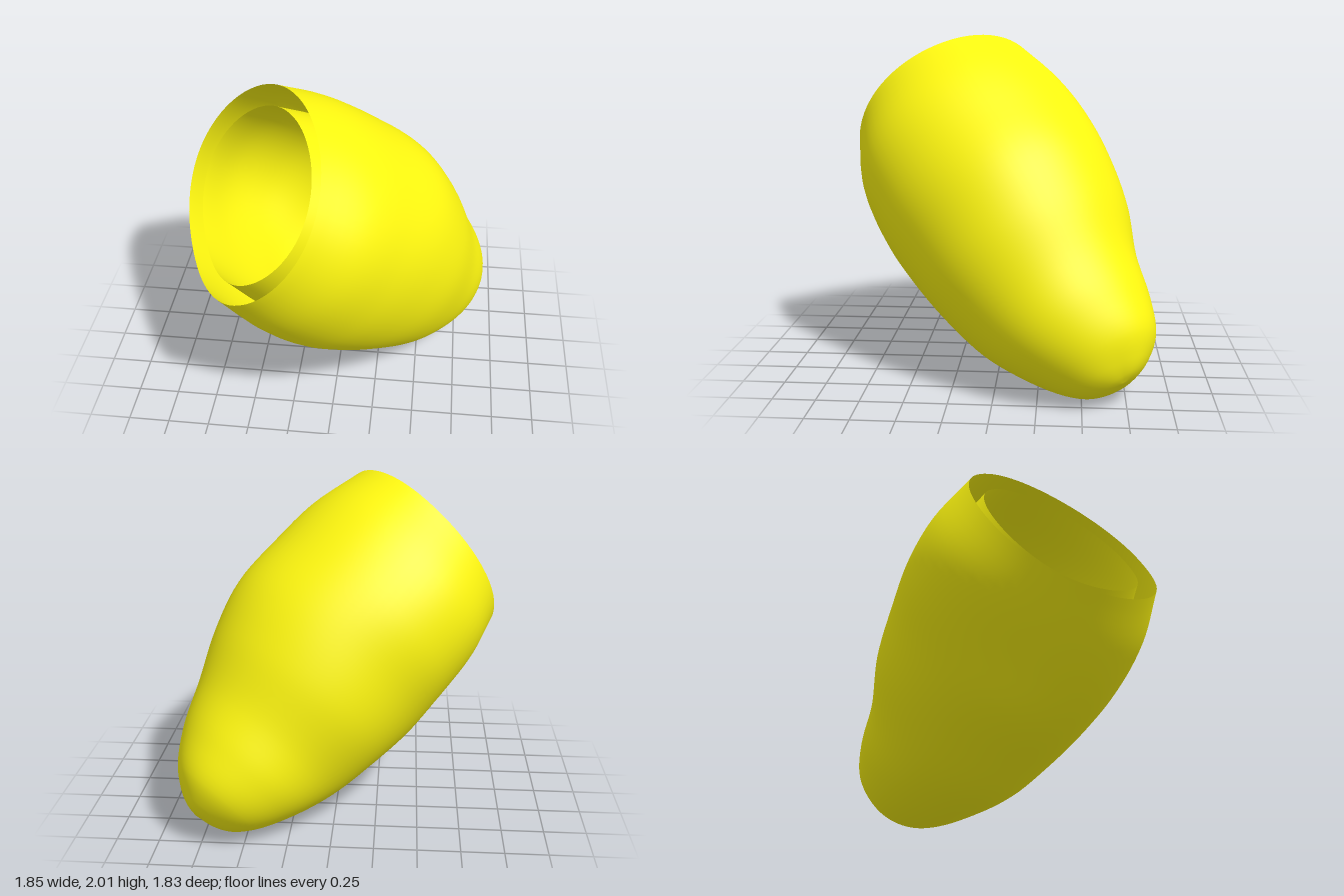
import * as THREE from 'three';
import { mergeVertices } from 'three/addons/utils/BufferGeometryUtils.js';

const V = (x, y, z) => new THREE.Vector3(x, y, z);

// Frame of the cup: rim centre, long axis (rim to tip) and two cross directions
const rimCentre = V(-0.47, 1.47, 0.345);
const axis = V(0.594, -0.623, -0.507).normalize();
const e1 = V(0.72, 0.69, 0).normalize();
const e2 = new THREE.Vector3().crossVectors(e1, axis).normalize();
const rimNormal = V(-0.72, 0.49, 0.49).normalize();

// Cross-sections: distance along the axis, then six radii at 60 degree steps
const sections = [
  [0.00, 0.60, 0.63, 0.65, 0.61, 0.635, 0.635],
  [0.30, 0.68, 0.69, 0.73, 0.64, 0.73, 0.745],
  [0.60, 0.705, 0.70, 0.725, 0.655, 0.765, 0.75],
  [0.90, 0.705, 0.67, 0.66, 0.67, 0.745, 0.72],
  [1.20, 0.62, 0.59, 0.60, 0.625, 0.69, 0.665],
  [1.50, 0.485, 0.46, 0.485, 0.56, 0.61, 0.555],
  [1.75, 0.385, 0.385, 0.42, 0.45, 0.48, 0.45],
  [1.95, 0.27, 0.30, 0.32, 0.325, 0.34, 0.30],
  [2.05, 0.155, 0.19, 0.205, 0.225, 0.23, 0.19],
  [2.095, 0.07, 0.10, 0.10, 0.12, 0.12, 0.09],
  [2.11, 0, 0, 0, 0, 0, 0],
];
// How far the wavy rim rises above its plane at the same six angles
const rimLift = [-0.01, 0, 0.03, 0.02, 0.05, 0.005];

const smoothRing = (values) =>
  new THREE.CatmullRomCurve3(values.map((v) => V(v, 0, 0)), true, 'catmullrom', 0.5);

// Smooth closed shell through the sections, with a tilted, wavy rim
function shellGeometry(radiusScale, lengthScale, recess, inward) {
  const around = 72, along = 60;
  const radii = sections.map(([, ...r]) => smoothRing(r));
  const lift = smoothRing(rimLift);
  const positions = [], index = [];
  for (let j = 0; j < around; j++) {
    const angle = (j / around) * Math.PI * 2;
    const dir = e1.clone().multiplyScalar(Math.cos(angle)).addScaledVector(e2, Math.sin(angle));
    const tilt = -dir.dot(rimNormal) / axis.dot(rimNormal);
    const points = sections.map(([t], i) => {
      const r = radii[i].getPoint(j / around).x * radiusScale;
      const rimShift = (tilt * r - lift.getPoint(j / around).x) * Math.max(0, 1 - t / 0.9);
      return rimCentre.clone().addScaledVector(axis, recess + t * lengthScale + rimShift).addScaledVector(dir, r);
    });
    for (const p of new THREE.CatmullRomCurve3(points).getPoints(along)) positions.push(p.x, p.y, p.z);
  }
  const id = (i, j) => (j % around) * (along + 1) + i;
  for (let j = 0; j < around; j++) {
    for (let i = 0; i < along; i++) {
      const a = id(i, j), b = id(i, j + 1), c = id(i + 1, j), d = id(i + 1, j + 1);
      if (inward) index.push(c, a, d, d, a, b);
      else index.push(c, d, a, d, b, a);
    }
  }
  const geometry = new THREE.BufferGeometry();
  geometry.setAttribute('position', new THREE.Float32BufferAttribute(positions, 3));
  geometry.setIndex(index);
  const welded = mergeVertices(geometry, 1e-5);
  welded.computeVertexNormals();
  return welded;
}

export function createModel() {
  const group = new THREE.Group();
  const material = new THREE.MeshStandardMaterial({ color: 0xfff810, side: THREE.DoubleSide });
  const add = (name, geometry) => {
    const mesh = new THREE.Mesh(geometry, material);
    mesh.name = name;
    group.add(mesh);
  };

  // Outer skin and the narrower lining set slightly below its rim
  add('outerShell', shellGeometry(1, 1, 0, false));
  add('innerShell', shellGeometry(0.82, 0.94, 0.03, true));
  return group;
}
